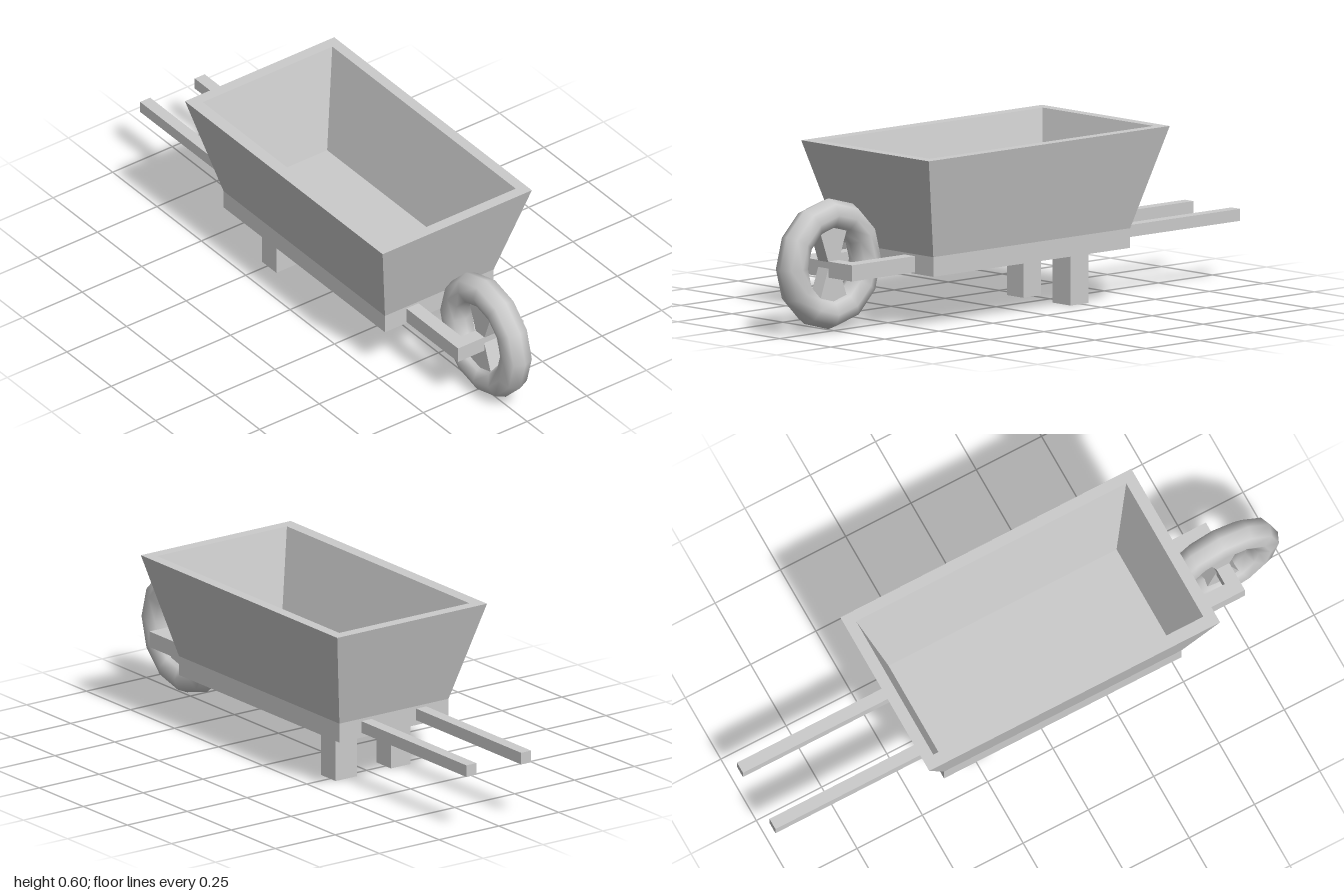
import * as THREE from 'three';

const grey = new THREE.MeshStandardMaterial({ color: 0xcccccc });
const greyFlat = new THREE.MeshStandardMaterial({ color: 0xcccccc, flatShading: true });

// Box given by its extents
function block(name, [x0, x1], [y0, y1], [z0, z1]) {
  const mesh = new THREE.Mesh(new THREE.BoxGeometry(x1 - x0, y1 - y0, z1 - z0), greyFlat);
  mesh.position.set((x0 + x1) / 2, (y0 + y1) / 2, (z0 + z1) / 2);
  mesh.name = name;
  return mesh;
}

// Skin over a stack of rectangles [x0, x1, y, z0, z1], closed at both ends
function rectLoft(sections) {
  const points = [], index = [];
  for (const [x0, x1, y, z0, z1] of sections) {
    points.push(x0, y, z0, x0, y, z1, x1, y, z1, x1, y, z0);
  }
  for (let s = 0; s < sections.length - 1; s++) {
    for (let i = 0; i < 4; i++) {
      const a = s * 4 + i, b = s * 4 + (i + 1) % 4;
      index.push(a, b, b + 4, a, b + 4, a + 4);
    }
  }
  const e = (sections.length - 1) * 4;
  index.push(0, 2, 1, 0, 3, 2, e, e + 1, e + 2, e, e + 2, e + 3);
  const indexed = new THREE.BufferGeometry();
  indexed.setAttribute('position', new THREE.Float32BufferAttribute(points, 3));
  indexed.setIndex(index);
  const geometry = indexed.toNonIndexed();
  geometry.computeVertexNormals();
  return geometry;
}

export function createModel() {
  const model = new THREE.Group();
  model.name = 'wheelbarrow';

  // Tray: straight base, flared sides, rim, then down the inside to the floor
  const tray = new THREE.Mesh(rectLoft([
    [-0.405, 0.505, 0.183, -0.228, 0.228],
    [-0.405, 0.505, 0.25, -0.228, 0.228],
    [-0.508, 0.606, 0.597, -0.313, 0.313],
    [-0.468, 0.566, 0.597, -0.275, 0.268],
    [-0.388, 0.485, 0.25, -0.194, 0.184],
  ]), greyFlat);
  tray.name = 'tray';
  model.add(tray);

  // Handles
  for (const z of [-0.115, 0.114]) {
    model.add(block('handle', [-1, -0.39], [0.2, 0.241], [z - 0.021, z + 0.021]));
  }

  // Legs
  model.add(block('leftLeg', [-0.282, -0.2], [0, 0.19], [0.078, 0.159]));
  model.add(block('rightLeg', [-0.282, -0.2], [0, 0.19], [-0.153, -0.064]));

  // Fork: two arms joined by the axle bar through the wheel
  const outline = new THREE.Shape([
    [0.48, -0.137], [0.796, -0.137], [0.796, 0.138], [0.48, 0.138],
    [0.48, 0.087], [0.747, 0.087], [0.747, -0.087], [0.48, -0.087],
  ].map(([x, z]) => new THREE.Vector2(x, z)));
  const forkGeometry = new THREE.ExtrudeGeometry(outline, { depth: 0.055, bevelEnabled: false });
  forkGeometry.rotateX(Math.PI / 2).translate(0, 0.243, 0);
  const fork = new THREE.Mesh(forkGeometry, greyFlat);
  fork.name = 'fork';
  model.add(fork);

  // Wheel: tyre with wedge spokes above and below the axle
  const wheel = new THREE.Group();
  wheel.name = 'wheel';
  wheel.position.set(0.772, 0.23, 0.003);
  const tyre = new THREE.Mesh(new THREE.TorusGeometry(0.169, 0.054, 8, 12), grey);
  tyre.name = 'tyre';
  wheel.add(tyre);
  for (const turn of [0, Math.PI]) {
    const spoke = new THREE.Mesh(rectLoft([
      [-0.02, 0.02, 0, -0.025, 0.025],
      [-0.069, 0.069, 0.135, -0.025, 0.025],
    ]), greyFlat);
    spoke.rotation.z = turn;
    spoke.name = 'spoke';
    wheel.add(spoke);
  }
  model.add(wheel);

  return model;
}
